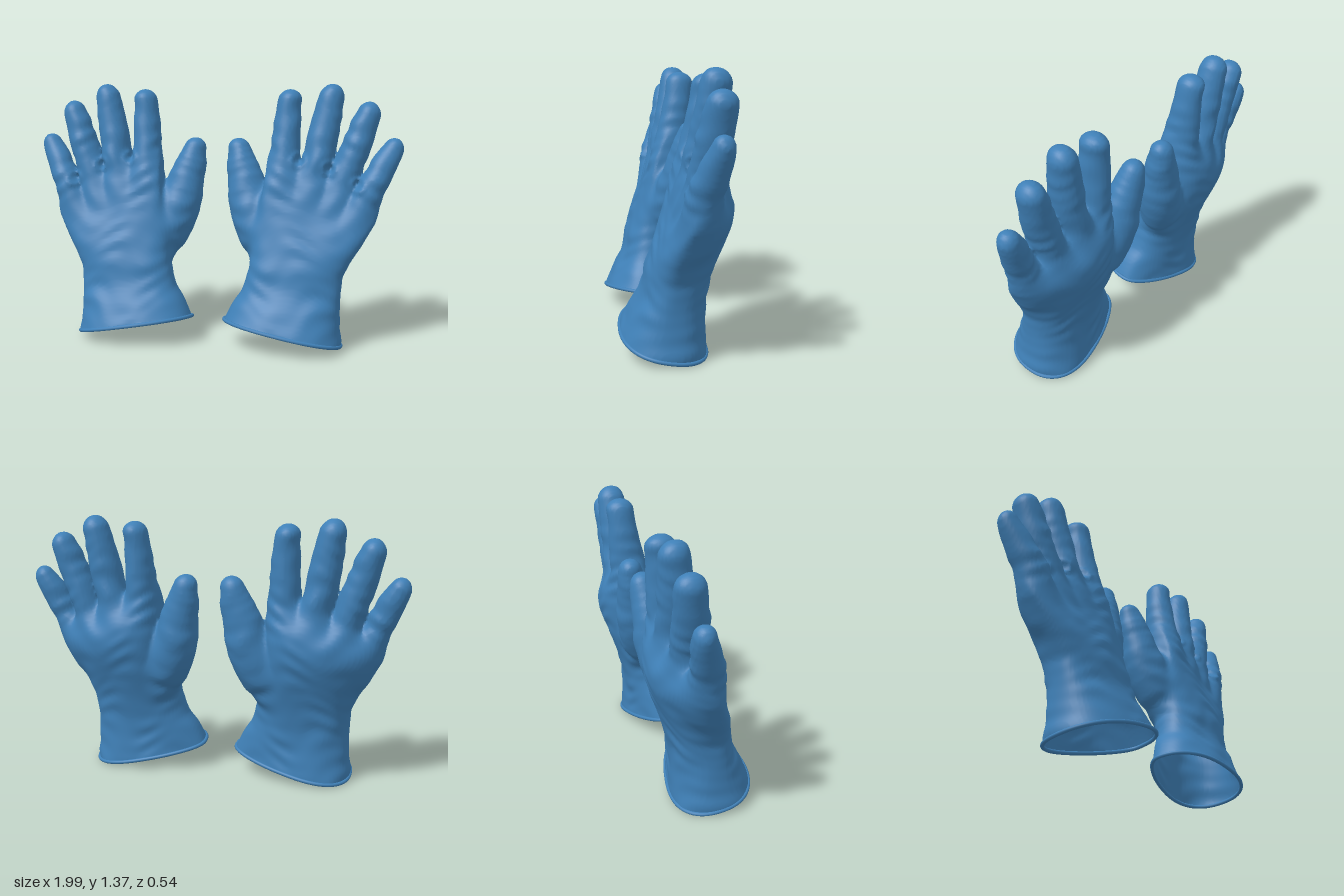
import * as THREE from 'three';

const { smoothstep } = THREE.MathUtils;
const gloveBlue = new THREE.MeshStandardMaterial({ color: 0x3f80b7, side: THREE.DoubleSide });
gloveBlue.name = 'glove blue';

// Smooth interpolation through evenly spaced rows of numbers, t from 0 to 1
function sample(rows, t) {
  const f = THREE.MathUtils.clamp(t, 0, 0.99999) * (rows.length - 1);
  const i = Math.floor(f), u = f - i;
  const p0 = rows[Math.max(i - 1, 0)], p1 = rows[i], p2 = rows[i + 1];
  const p3 = rows[Math.min(i + 2, rows.length - 1)];
  return p1.map((b, k) => {
    const a = p0[k], c = p2[k], d = p3[k];
    return b + 0.5 * u * (c - a + u * (2 * a - 5 * b + 4 * c - d + u * (3 * (b - c) + d - a)));
  });
}

// Union that rounds the joint over the width k
function blend(a, b, k) {
  const h = Math.max(k - Math.abs(a - b), 0) / k;
  return Math.min(a, b) - h * h * k / 4;
}

// Palm and cuff sections every 0.1 in height: xMin, xMax, zFront, zMid, zBack,
// skew (which side of the back is fuller: + little finger, - thumb)
const palmRows = [
  [0.06, 0.71, 0.295, 0.05, -0.135, 0.3], [0.083, 0.703, 0.262, 0.045, -0.13, 0.3],
  [0.132, 0.698, 0.216, 0.035, -0.133, 0.2], [0.188, 0.704, 0.164, 0.03, -0.148, 0.1],
  [0.216, 0.722, 0.143, 0.02, -0.174, 0], [0.236, 0.775, 0.113, 0.01, -0.207, -0.1],
  [0.265, 0.814, 0.076, 0, -0.24, -0.18], [0.28, 0.848, 0.038, -0.02, -0.262, -0.2],
  [0.29, 0.868, 0.004, -0.045, -0.25, -0.18], [0.305, 0.864, -0.042, -0.09, -0.195, -0.1],
  [0.33, 0.84, -0.1, -0.12, -0.145, 0],
];
const POWER = 2.3;

function palmDistance(x, y, z) {
  const level = y + 0.42 * smoothstep(y, 0.45, 0.8) * (x - 0.5); // knuckle line slopes down
  const [x0, x1, zf, zm, zb, skew] = sample(palmRows, level);
  const a = (x1 - x0) / 2, across = (x - (x0 + x1) / 2) / a;
  const b = z > zm ? zf - zm : (zm - zb) * (1 + skew * THREE.MathUtils.clamp(across, -1, 1));
  const u = Math.abs(across), v = Math.abs(z - zm) / b;
  const r = (u ** POWER + v ** POWER) ** (1 / POWER) + 1e-6;
  const grad = Math.hypot((u / r) ** (POWER - 1) / a, (v / r) ** (POWER - 1) / b);
  return -blend((1 - r) / grad, 0.92 - level, 0.05);
}

// Finger paths: x, y, z, half width, half depth
const fingers = {
  indexFinger: [
    [0.38, 0.66, -0.11, 0.07, 0.09], [0.378, 0.8, -0.115, 0.082, 0.107], [0.381, 0.95, -0.128, 0.079, 0.101],
    [0.387, 1.1, -0.143, 0.074, 0.086], [0.4, 1.27, -0.162, 0.063, 0.072]],
  middleFinger: [
    [0.5, 0.66, -0.11, 0.07, 0.09], [0.526, 0.8, -0.115, 0.08, 0.107], [0.55, 0.95, -0.128, 0.081, 0.102],
    [0.587, 1.12, -0.145, 0.08, 0.087], [0.619, 1.29, -0.162, 0.067, 0.074]],
  ringFinger: [
    [0.62, 0.64, -0.09, 0.07, 0.085], [0.665, 0.78, -0.1, 0.077, 0.097], [0.716, 0.93, -0.117, 0.078, 0.092],
    [0.764, 1.07, -0.133, 0.075, 0.083], [0.814, 1.205, -0.149, 0.063, 0.072]],
  littleFinger: [
    [0.74, 0.58, -0.04, 0.06, 0.07], [0.793, 0.72, -0.055, 0.074, 0.08], [0.847, 0.84, -0.08, 0.072, 0.079],
    [0.896, 0.94, -0.107, 0.067, 0.069], [0.946, 1.032, -0.13, 0.054, 0.055]],
  thumb: [
    [0.33, 0.44, -0.05, 0.08, 0.075], [0.26, 0.56, -0.09, 0.117, 0.11], [0.2, 0.7, -0.125, 0.114, 0.112],
    [0.167, 0.84, -0.15, 0.1, 0.092], [0.138, 0.94, -0.168, 0.08, 0.076], [0.121, 1.007, -0.18, 0.063, 0.065]],
};
const NODES = 11;
const partNames = ['palmAndCuff', ...Object.keys(fingers)];
const fingerNodes = Object.values(fingers).map((rows) =>
  Array.from({ length: NODES }, (_, i) => sample(rows, i / (NODES - 1))));

// Distance to a chain of tapered segments with an oval section
function fingerDistance(nodes, x, y, z) {
  let best = Infinity;
  for (let i = 0; i < NODES - 1; i++) {
    const p = nodes[i], q = nodes[i + 1];
    const dx = q[0] - p[0], dy = q[1] - p[1], dz = q[2] - p[2];
    let h = ((x - p[0]) * dx + (y - p[1]) * dy + (z - p[2]) * dz) / (dx * dx + dy * dy + dz * dz);
    h = Math.min(1, Math.max(0, h));
    const rx = p[3] + (q[3] - p[3]) * h, rz = p[4] + (q[4] - p[4]) * h;
    const ex = x - p[0] - dx * h, ey = y - p[1] - dy * h, ez = (z - p[2] - dz * h) * rx / rz;
    best = Math.min(best, Math.sqrt(ex * ex + ey * ey + ez * ez) - rx);
  }
  return best;
}

const partDistances = (x, y, z) =>
  [palmDistance(x, y, z), ...fingerNodes.map((nodes) => fingerDistance(nodes, x, y, z))];

// Soft creases in the rubber and raised folds below the finger gaps
const webs = [[0.46, 0.965], [0.622, 0.925], [0.775, 0.845]];
function relief(x, y, z) {
  const patch = Math.sin(13 * x + 5 * y + 2) * Math.sin(9 * y - 7 * x + 4 * z);
  let bump = 0.004 * patch * Math.sin(54 * y + 7 * x + 2.5 * Math.sin(15 * x + 8 * y))
    + 0.002 * Math.sin(27 * x + 15 * z + 2 * Math.sin(12 * y));
  if (z > -0.11) {
    for (const [wx, wy] of webs) {
      const ring = (Math.hypot(x - wx, y - wy) - 0.032) / 0.012;
      bump += 0.009 * Math.exp(-ring * ring);
    }
  }
  return bump;
}

function gloveField(x, y, z) {
  const [palm, ...rest] = partDistances(x, y, z);
  const digits = rest.reduce((sum, d) => blend(sum, d, 0.008), Infinity);
  const d = blend(palm, digits, 0.05);
  return Math.abs(d) < 0.05 ? d - relief(x, y, z) : d;
}

// Slanted plane of the cuff opening
const rimHeight = (x, z) => 0.06 - 0.18 * (x - 0.4) + 0.16 * z;

// Skin the field on a regular grid: one vertex per crossed cell, one quad per crossed edge
function buildSkin() {
  const H = 0.0125, min = [0.02, -0.06, -0.33], n = [82, 118, 56];
  const step = [1, n[0], n[0] * n[1]], total = n[0] * n[1] * n[2];
  const cell = (id) => [id % n[0], Math.floor(id / n[0]) % n[1], Math.floor(id / step[2])];
  const at = (c) => c.map((v, a) => min[a] + v * H);
  const field = Float32Array.from({ length: total }, (_, id) => gloveField(...at(cell(id))));
  const vertex = new Int32Array(total).fill(-1);
  const points = [], below = [], owner = [];
  const quads = partNames.map(() => []);

  for (let id = 0; id < total; id++) {
    const c = cell(id);
    if (c.some((v, a) => v === n[a] - 1)) continue;
    const sum = [0, 0, 0];
    let hits = 0;
    for (let corner = 0; corner < 8; corner++) {
      const bits = [corner & 1, (corner >> 1) & 1, corner >> 2];
      const here = id + bits[0] * step[0] + bits[1] * step[1] + bits[2] * step[2];
      for (let a = 0; a < 3; a++) {
        const f0 = field[here], f1 = field[here + step[a]];
        if (bits[a] || (f0 < 0) === (f1 < 0)) continue;
        for (let k = 0; k < 3; k++) sum[k] += bits[k] + (k === a ? f0 / (f0 - f1) : 0);
        hits++;
      }
    }
    if (!hits) continue;
    const p = at(c.map((v, a) => v + sum[a] / hits));
    const rim = rimHeight(p[0], p[2]);
    const parts = partDistances(...p);
    vertex[id] = owner.length;
    owner.push(parts.indexOf(Math.min(...parts)));
    below.push(p[1] < rim);
    points.push(p[0], Math.max(p[1], rim), p[2]);
  }

  for (let id = 0; id < total; id++) {
    for (let a = 0; a < 3; a++) {
      const inside = field[id] < 0, b = step[(a + 1) % 3], c = step[(a + 2) % 3];
      if (id + step[a] >= total || inside === (field[id + step[a]] < 0)) continue;
      const q = [id - b - c, id - c, id, id - b].map((i) => vertex[i] ?? -1);
      if (q.includes(-1) || q.every((v) => below[v])) continue;
      if (!inside) q.reverse();
      quads[owner[q[0]]].push(q[0], q[1], q[2], q[0], q[2], q[3]);
    }
  }
  return { points, quads };
}

function makeGlove(skin, side, name) {
  const glove = new THREE.Group();
  glove.name = name;
  const add = (geo, part) => {
    const mesh = new THREE.Mesh(geo, gloveBlue);
    mesh.name = part;
    glove.add(mesh);
  };

  // Palm, cuff and fingers share their normals, so the joints stay smooth
  const whole = new THREE.BufferGeometry();
  whole.setAttribute('position', new THREE.Float32BufferAttribute(
    skin.points.map((v, i) => (i % 3 === 0 ? v * side : v)), 3));
  const facing = skin.quads.map((list) => (side > 0 ? list : list.slice().reverse()));
  whole.setIndex(facing.flat());
  whole.computeVertexNormals();
  facing.forEach((list, i) => {
    const geo = new THREE.BufferGeometry();
    geo.setAttribute('position', whole.attributes.position);
    geo.setAttribute('normal', whole.attributes.normal);
    geo.setIndex(list);
    add(geo, partNames[i]);
  });

  // Rolled rim around the opening
  const rim = Array.from({ length: 40 }, (_, j) => {
    const angle = (j / 40) * Math.PI * 2;
    const bend = (v) => Math.sign(v) * Math.abs(v) ** (2 / POWER);
    const c = bend(Math.cos(angle)), s = bend(Math.sin(angle));
    const p = new THREE.Vector3(0, 0.06, 0);
    for (let k = 0; k < 6; k++) {
      const [x0, x1, zf, zm, zb, skew] = sample(palmRows, p.y);
      p.x = (x0 + x1) / 2 + c * (x1 - x0) / 2;
      p.z = zm + s * (s > 0 ? zf - zm : (zm - zb) * (1 + skew * c));
      p.y = rimHeight(p.x, p.z);
    }
    p.x *= side;
    return p;
  });
  add(new THREE.TubeGeometry(new THREE.CatmullRomCurve3(rim, true), 96, 0.01, 10, true), 'cuffRim');
  return glove;
}

export function createModel() {
  const model = new THREE.Group();
  model.name = 'pairOfGloves';
  const skin = buildSkin();
  model.add(makeGlove(skin, 1, 'leftGlove'), makeGlove(skin, -1, 'rightGlove'));
  return model;
}
